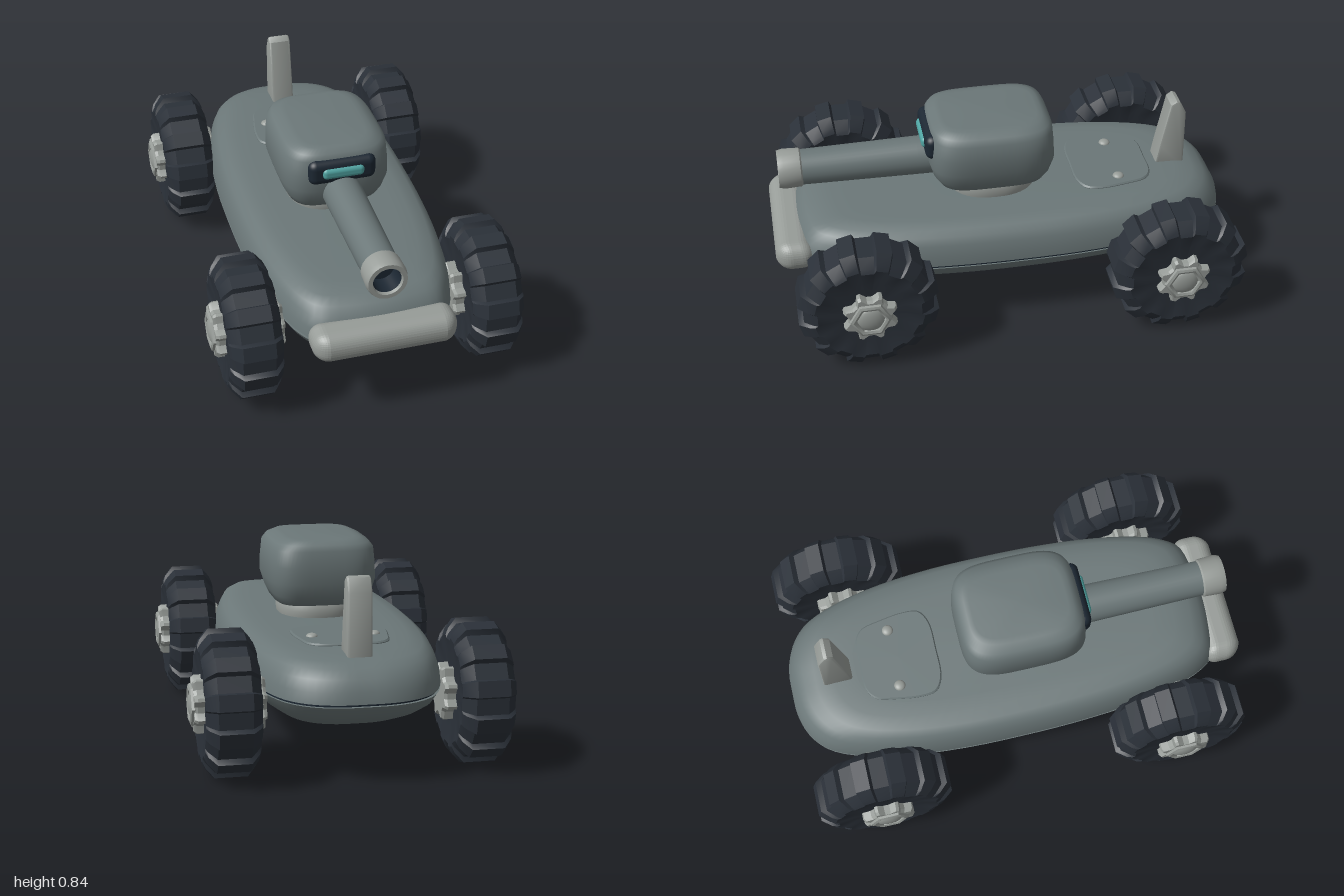
import * as THREE from 'three';
import { toCreasedNormals } from 'three/addons/utils/BufferGeometryUtils.js';
import { RoundedBoxGeometry } from 'three/addons/geometries/RoundedBoxGeometry.js';

const mat = (color) => new THREE.MeshStandardMaterial({ color });

// Stack layers [y, scaleX, scaleZ, outline?] of a closed (x, z) outline, capped at both ends
function loft(outline, layers, crease = 0.7) {
  const n = outline.length, pos = [], idx = [];
  layers.forEach(([y, sx, sz = sx, own = outline]) =>
    own.forEach((p) => pos.push(p.x * sx, y, p.y * sz)));
  const last = layers.length - 1, bottom = n * layers.length, top = bottom + 1;
  pos.push(0, layers[0][0], 0, 0, layers[last][0], 0);
  for (let j = 0; j < n; j++) {
    const k = (j + 1) % n;
    for (let i = 0; i < last; i++) {
      const a = i * n + j, b = i * n + k;
      idx.push(a, a + n, b, b, a + n, b + n);
    }
    idx.push(bottom, j, k, top, last * n + k, last * n + j);
  }
  const g = new THREE.BufferGeometry();
  g.setAttribute('position', new THREE.Float32BufferAttribute(pos, 3));
  g.setIndex(idx);
  return toCreasedNormals(g, crease);
}

// Smooth closed outline from the +x half, listed from rear to front
function mirroredOutline(half, count) {
  const right = half.map(([x, z]) => new THREE.Vector3(x, z, 0));
  const left = right.slice(1, -1).reverse().map((p) => new THREE.Vector3(-p.x, p.y, 0));
  return new THREE.CatmullRomCurve3([...right, ...left], true).getPoints(count).slice(0, -1);
}

function superellipse(a, b, power, count = 48) {
  return Array.from({ length: count }, (_, i) => {
    const t = (i / count) * Math.PI * 2, c = Math.cos(t), s = Math.sin(t);
    return new THREE.Vector2(a * Math.sign(c) * Math.abs(c) ** power, b * Math.sign(s) * Math.abs(s) ** power);
  });
}

// Toothed circle: four points for each tooth
function gear(teeth, low, high, half, flank) {
  const pts = [];
  for (let i = 0; i < teeth; i++) {
    const t = ((i + 0.5) / teeth) * Math.PI * 2;
    [[-half - flank, low], [-half, high], [half, high], [half + flank, low]].forEach(([d, r]) =>
      pts.push(new THREE.Vector2(r * Math.cos(t + d), r * Math.sin(t + d))));
  }
  return pts;
}

export function createModel() {
  const model = new THREE.Group();
  const slate = mat(0x6b7778), pale = mat(0x979c98), dark = mat(0x2a3038);
  const black = mat(0x1c2732), teal = mat(0x4fa3a1);
  const add = (name, geometry, material, x = 0, y = 0, z = 0, parent = model) => {
    const m = new THREE.Mesh(geometry, material);
    m.name = name;
    m.position.set(x, y, z);
    parent.add(m);
    return m;
  };

  // Hull: lower tub, seam and upper deck share one plan outline
  const plan = mirroredOutline([[0, -0.99], [0.11, -0.985], [0.21, -0.95], [0.29, -0.88], [0.35, -0.75],
    [0.395, -0.55], [0.42, -0.3], [0.425, -0.05], [0.42, 0.2], [0.40, 0.45], [0.365, 0.65],
    [0.32, 0.79], [0.26, 0.87], [0.14, 0.9], [0, 0.91]], 88);
  add('lowerHull', loft(plan, [[0.19, 0.67, 0.72], [0.205, 0.72, 0.78], [0.25, 0.84, 0.9],
    [0.29, 0.94, 0.97], [0.333, 1, 1]]), slate);
  add('hullSeam', loft(plan, [[0.33, 0.985], [0.347, 0.985]]), black);
  add('upperHull', loft(plan, [[0.344, 1], [0.39, 0.99], [0.435, 0.955, 0.965], [0.468, 0.915, 0.93],
    [0.488, 0.85, 0.88], [0.498, 0.72, 0.8], [0.5, 0.58, 0.7]]), slate);

  // Front bumper, swept back a little toward its ends
  const bumper = new RoundedBoxGeometry(0.6, 0.13, 0.16, 5, 0.06);
  const bp = bumper.attributes.position;
  for (let i = 0; i < bp.count; i++) {
    const e = Math.max(0, Math.abs(bp.getX(i)) - 0.2) / 0.1;
    bp.setZ(i, bp.getZ(i) - 0.02 * e);
  }
  bumper.computeVertexNormals();
  add('frontBumper', bumper, pale, 0, 0.365, 0.92);

  // Rear deck hatch with two bolts
  const hatch = mirroredOutline([[0, -0.17], [0.12, -0.165], [0.165, -0.13], [0.185, -0.05], [0.2, 0.06],
    [0.19, 0.13], [0.13, 0.165], [0, 0.17]], 48);
  add('engineHatch', loft(hatch, [[0, 1], [0.01, 1], [0.016, 0.97]]), slate, 0, 0.493, -0.5);
  for (const s of [-1, 1]) {
    add('hatchBolt', new THREE.SphereGeometry(0.025, 16, 8, 0, Math.PI * 2, 0, Math.PI / 2), pale, s * 0.13, 0.507, -0.52)
      .scale.y = 0.6;
  }

  // Rear fin: side profile extruded across x
  const finShape = new THREE.Shape([[0.705, 0.46], [0.725, 0.58], [0.765, 0.79], [0.79, 0.808], [0.805, 0.802],
    [0.835, 0.745], [0.84, 0.46]].map(([z, y]) => new THREE.Vector2(z, y)));
  const fin = new THREE.ExtrudeGeometry(finShape, { depth: 0.08, bevelSize: 0.01, bevelOffset: -0.01, bevelThickness: 0.01, bevelSegments: 2 });
  fin.translate(0, 0, -0.04).rotateY(Math.PI / 2);
  add('rearFin', toCreasedNormals(fin, 0.7), pale);

  // Turret
  add('turretNeck', loft(superellipse(0.18, 0.195, 0.85),
    [[0.48, 0.97], [0.505, 0.99], [0.525, 1], [0.55, 0.98], [0.575, 0.92]]), pale, 0, 0, 0.028);
  add('turret', loft(superellipse(0.235, 0.272, 0.5, 64), [[0.56, 0.82, 0.82], [0.565, 0.85, 0.86], [0.6, 0.92, 0.94],
    [0.66, 1, 1], [0.73, 0.995, 0.99], [0.8, 0.965, 0.965], [0.825, 0.88, 0.92], [0.842, 0.72, 0.82], [0.845, 0.62, 0.74]]),
  slate, 0, 0, 0.037);
  add('visor', new RoundedBoxGeometry(0.29, 0.11, 0.07, 4, 0.033), black, 0, 0.75, 0.29);
  add('visorLens', new RoundedBoxGeometry(0.18, 0.05, 0.04, 4, 0.019), teal, 0, 0.752, 0.317);

  // Gun: one turned profile with a hollow muzzle
  const turned = (pts) => {
    const g = new THREE.LatheGeometry(pts.map(([r, z]) => new THREE.Vector2(r, z)), 28);
    return toCreasedNormals(g.rotateX(Math.PI / 2), 0.6);
  };
  add('gunBarrel', turned([[0.084, 0.24], [0.083, 0.35], [0.076, 0.86]]), slate, 0, 0.64, 0);
  add('muzzle', turned([[0.072, 0.84], [0.083, 0.85], [0.086, 0.92], [0.08, 0.945], [0.062, 0.945], [0.058, 0.93]]),
    pale, 0, 0.64, 0);
  add('gunBore', turned([[0.058, 0.932], [0.055, 0.85], [0, 0.85]]), black, 0, 0.64, 0);

  // Wheels: toothed tyre, cogged hub, hexagonal rim and domed cap
  const tread = gear(12, 0.272, 0.295, 0.11, 0.03);
  const wall = gear(12, 0.216, 0.229, 0.11, 0.03);
  const plain = gear(12, 0.15, 0.15, 0.11, 0.03);
  const tyre = loft(tread, [[-0.098, 1, 1, plain], [-0.11, 1, 1, wall], [-0.1, 0.86], [-0.066, 1],
    [0.066, 1], [0.1, 0.86], [0.11, 1, 1, wall], [0.098, 1, 1, plain]], 0.4).rotateZ(-Math.PI / 2);
  const hub = loft(gear(8, 0.092, 0.117, 0.06, 0.2), [[-0.147, 0.92], [-0.135, 1], [0.125, 1], [0.138, 0.92]], 0.4)
    .rotateZ(-Math.PI / 2);
  const rim = toCreasedNormals(new THREE.TorusGeometry(0.073, 0.016, 8, 6).rotateY(Math.PI / 2), 0.5);
  const cap = new THREE.SphereGeometry(0.058, 20, 12).scale(0.35, 1, 1);
  for (const side of [-1, 1]) {
    for (const [name, z] of [['front', 0.637], ['rear', -0.69]]) {
      const wheel = new THREE.Group();
      wheel.name = name + (side > 0 ? 'LeftWheel' : 'RightWheel');
      wheel.position.set(side * 0.506, 0.297, z);
      wheel.rotation.y = side > 0 ? 0 : Math.PI;
      add('tyre', tyre, dark, 0, 0, 0, wheel);
      add('hub', hub, pale, 0, 0, 0, wheel);
      add('hubRim', rim, pale, 0.136, 0, 0, wheel);
      add('hubCap', cap, pale, 0.134, 0, 0, wheel);
      model.add(wheel);
    }
  }
  return model;
}
